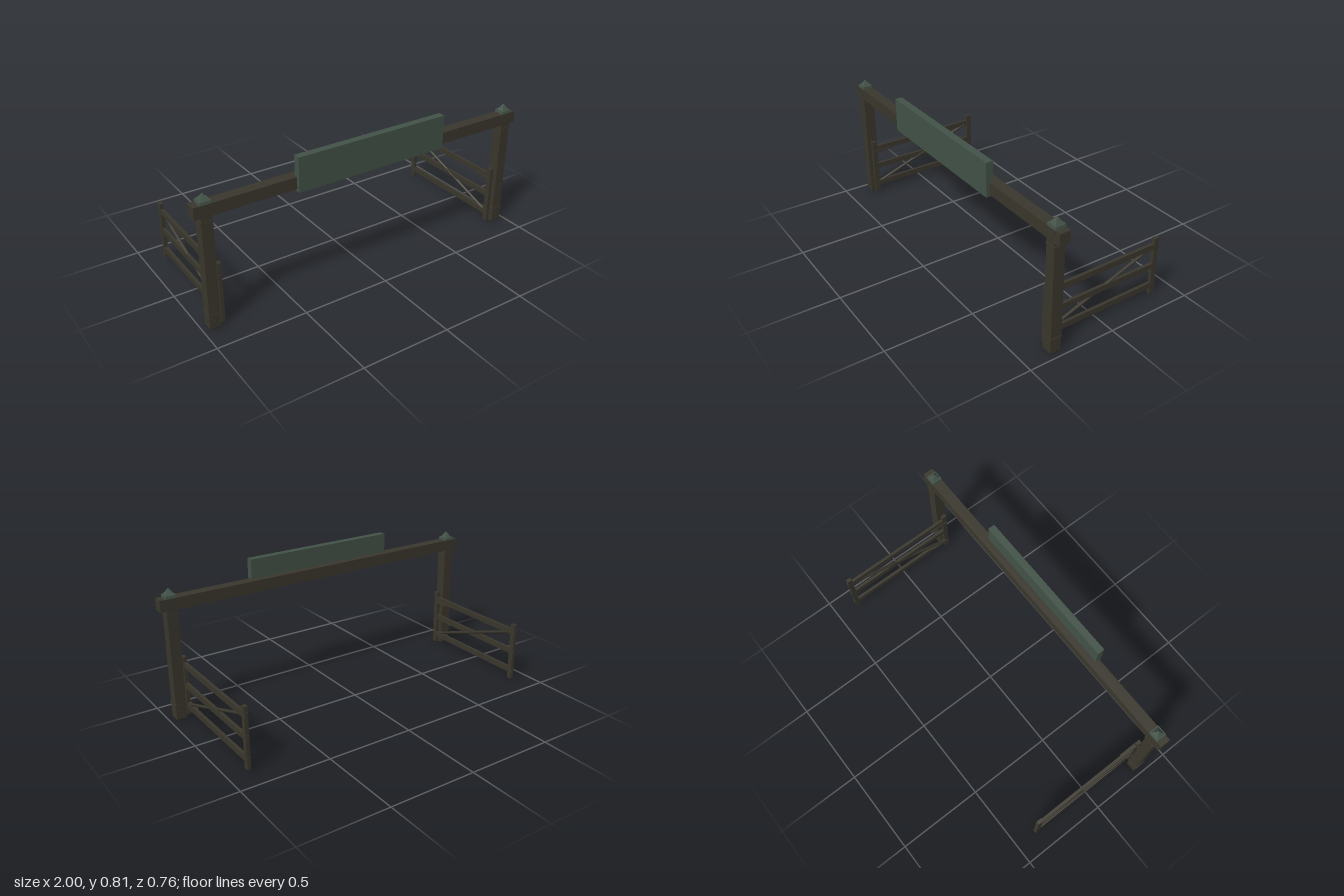
import * as THREE from 'three';

const wood = new THREE.MeshStandardMaterial({ name: 'darkWood', color: 0x3a372d });
const green = new THREE.MeshStandardMaterial({ name: 'paintedGreen', color: 0x435348 });

// Box given by its centre and size
function box(parent, name, material, center, size) {
  const mesh = new THREE.Mesh(new THREE.BoxGeometry(...size), material);
  mesh.name = name;
  mesh.position.set(...center);
  parent.add(mesh);
  return mesh;
}

// Four-sided frustum aligned with the axes
function frustum(parent, name, material, topWidth, bottomWidth, height, center) {
  const k = Math.SQRT1_2;
  const geo = new THREE.CylinderGeometry(topWidth * k, bottomWidth * k, height, 4, 1).toNonIndexed();
  geo.rotateY(Math.PI / 4);
  geo.computeVertexNormals();
  const mesh = new THREE.Mesh(geo, material);
  mesh.name = name;
  mesh.position.set(...center);
  parent.add(mesh);
}

function createPost(side) {
  const post = new THREE.Group();
  post.name = 'post';
  const x = side * 0.937, z = 0.33;
  box(post, 'postShaft', wood, [x, 0.3525, z], [0.06, 0.695, 0.062]);
  frustum(post, 'postFoot', wood, 0.061, 0.056, 0.006, [x, 0.003, z]);
  // Collars around the shaft
  for (const y of [0.087, 0.608]) box(post, 'collar', wood, [x, y, z], [0.067, 0.011, 0.067]);
  // Bolts through the front and back
  for (const y of [0.046, 0.65]) {
    const bolt = new THREE.Mesh(new THREE.CylinderGeometry(0.006, 0.006, 0.068, 8), wood);
    bolt.name = 'bolt';
    bolt.rotation.x = Math.PI / 2;
    bolt.position.set(x, y, z);
    post.add(bolt);
  }
  // Pointed cap
  frustum(post, 'capPlate', green, 0.058, 0.062, 0.016, [x, 0.708, z]);
  frustum(post, 'capPoint', green, 0.0005, 0.046, 0.034, [x, 0.733, z]);
  return post;
}

function createGate(side) {
  const gate = new THREE.Group();
  gate.name = 'gate';
  const x = side * 0.885;
  for (const z of [0.33, -0.36]) box(gate, 'gateStile', wood, [x, 0.182, z], [0.02, 0.344, 0.029]);
  for (const y of [0.064, 0.185, 0.306]) box(gate, 'gateRail', wood, [x, y, -0.016], [0.017, 0.033, 0.724]);

  // Diagonal brace rising towards the free end
  const a = new THREE.Vector3(x - side * 0.002, 0.07, 0.315);
  const b = new THREE.Vector3(x - side * 0.002, 0.297, -0.325);
  const dir = b.clone().sub(a);
  const brace = new THREE.Mesh(new THREE.CylinderGeometry(0.009, 0.009, dir.length(), 8), wood);
  brace.name = 'gateBrace';
  brace.position.copy(a).add(b).multiplyScalar(0.5);
  brace.quaternion.setFromUnitVectors(new THREE.Vector3(0, 1, 0), dir.normalize());
  gate.add(brace);

  // Hinge straps and pins reaching the post
  for (const y of [0.075, 0.289]) {
    box(gate, 'hingeStrap', wood, [x - side * 0.012, y, 0.28], [0.006, 0.012, 0.115]);
    box(gate, 'hingePin', wood, [x + side * 0.006, y, 0.33], [0.042, 0.01, 0.012]);
  }
  return gate;
}

export function createModel() {
  const model = new THREE.Group();
  model.name = 'ranchGateway';
  box(model, 'crossBeam', wood, [0, 0.667, 0.33], [2, 0.066, 0.06]);
  box(model, 'signBoard', green, [0, 0.716, 0.358], [0.905, 0.19, 0.04]);
  for (const side of [-1, 1]) model.add(createPost(side), createGate(side));
  return model;
}
